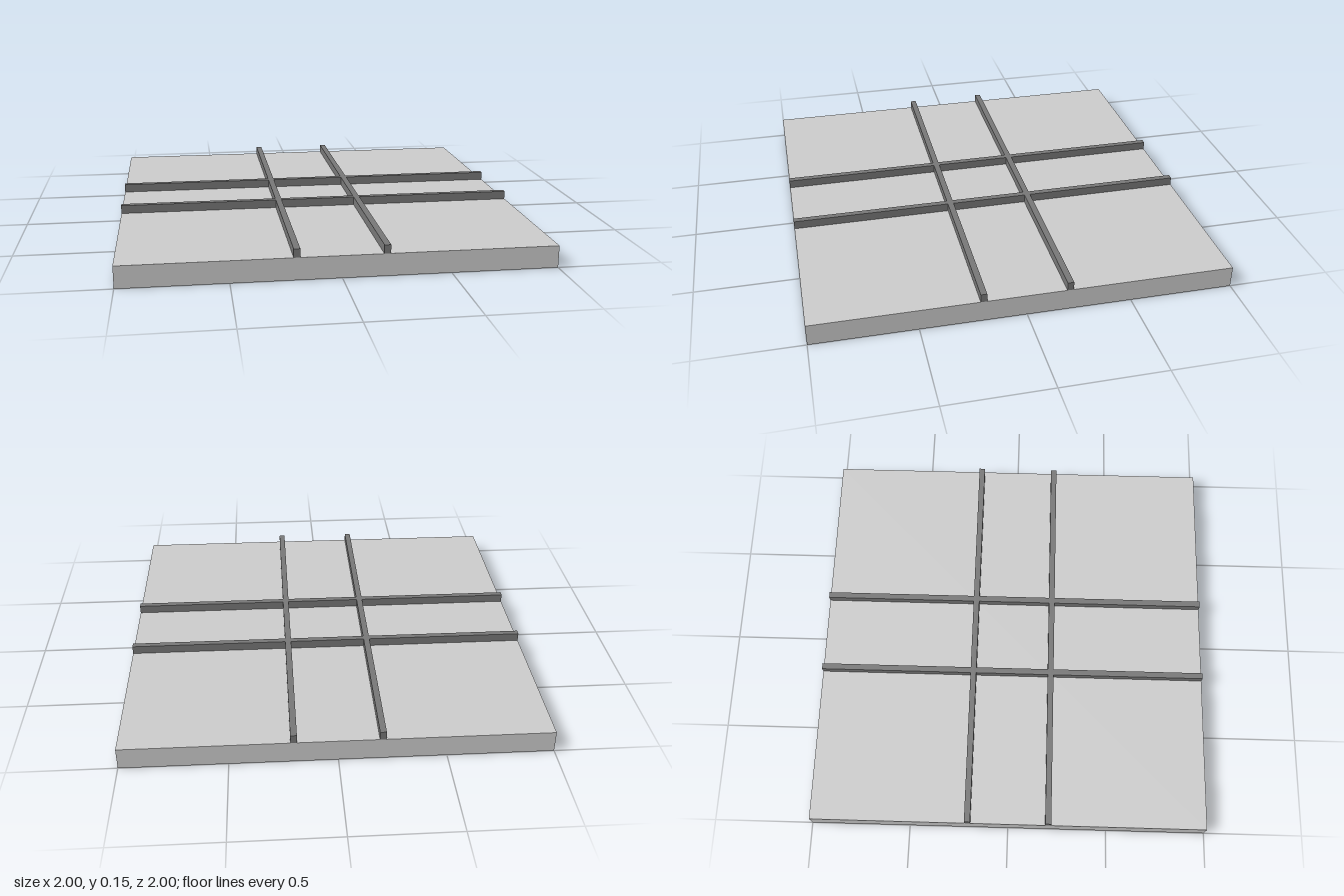
import * as THREE from 'three';

export function createModel() {
  const group = new THREE.Group();
  const boardMaterial = new THREE.MeshStandardMaterial({ color: 0xcccccc });
  const barMaterial = new THREE.MeshStandardMaterial({ color: 0x777777 });

  const boardHeight = 0.105, totalHeight = 0.146;
  const barWidth = 0.03, barOffset = 0.203;

  function addBox(name, material, [width, height, depth], [x, bottom, z]) {
    const mesh = new THREE.Mesh(new THREE.BoxGeometry(width, height, depth), material);
    mesh.name = name;
    mesh.position.set(x, bottom + height / 2, z);
    group.add(mesh);
  }

  // Square base slab
  addBox('board', boardMaterial, [2, boardHeight, 2], [0, 0, 0]);

  // Two raised bars each way, dividing the board into nine cells
  const barHeight = totalHeight - boardHeight;
  for (const side of [-1, 1]) {
    const label = side < 0 ? 'Right' : 'Left';
    addBox('lengthwiseBar' + label, barMaterial, [barWidth, barHeight, 2], [side * barOffset, boardHeight, 0]);
    addBox(side < 0 ? 'crosswiseBarBack' : 'crosswiseBarFront', barMaterial,
      [2, barHeight, barWidth], [0, boardHeight, side * barOffset]);
  }

  return group;
}
